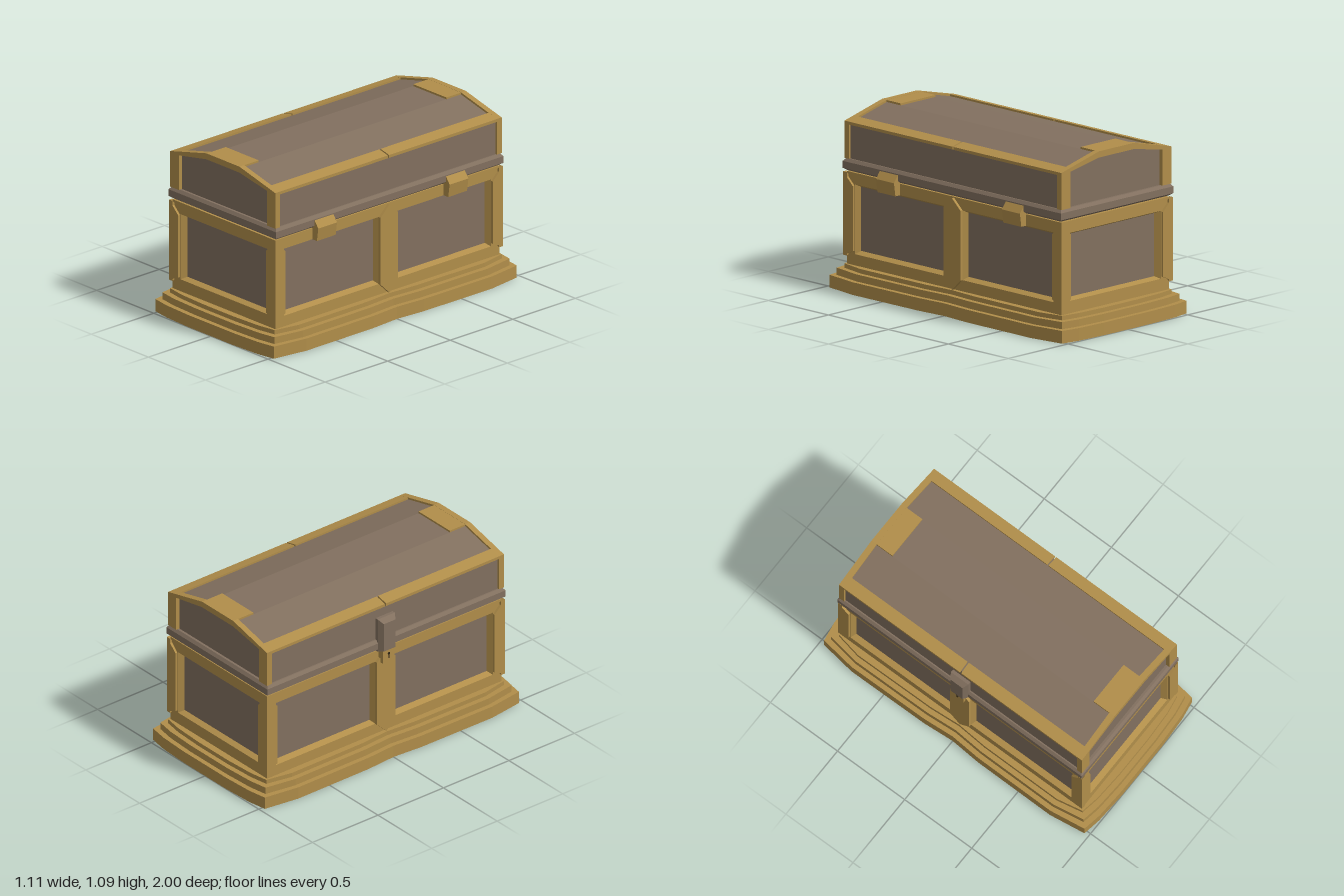
import * as THREE from 'three';

export function createModel() {
  const chest = new THREE.Group();
  chest.name = 'chest';
  const mat = (name, color) => {
    const m = new THREE.MeshStandardMaterial({ color });
    m.name = name;
    return m;
  };
  const gold = mat('gold', 0xb18e4a);
  const wood = mat('greyBrown', 0x82705f);
  const dark = mat('keyholeDark', 0x2a2112);

  function add(name, geo, material, parent = chest) {
    const m = new THREE.Mesh(geo, material);
    m.name = name;
    parent.add(m);
    return m;
  }
  // Flat outline extruded from z0 to z1
  function slab(pts, z0, z1) {
    const shape = new THREE.Shape(pts.map(p => new THREE.Vector2(p[0], p[1])));
    return new THREE.ExtrudeGeometry(shape, { depth: z1 - z0, bevelEnabled: false }).translate(0, 0, z0);
  }
  // Flat-faced loft through rectangles [x0, y0, x1, y1, z]; optional end caps
  function rectLoft(rects, capStart, capEnd) {
    const v = [];
    const loops = rects.map(([a, b, c, d, z]) => [[a, b, z], [c, b, z], [c, d, z], [a, d, z]]);
    const quad = (p, q, r, s) => v.push(...p, ...q, ...r, ...p, ...r, ...s);
    for (let i = 0; i + 1 < loops.length; i++) {
      for (let k = 0; k < 4; k++) {
        const n = (k + 1) % 4;
        quad(loops[i][k], loops[i][n], loops[i + 1][n], loops[i + 1][k]);
      }
    }
    if (capStart) quad(...[...loops[0]].reverse());
    if (capEnd) quad(...loops[loops.length - 1]);
    const g = new THREE.BufferGeometry();
    g.setAttribute('position', new THREE.Float32BufferAttribute(v, 3));
    g.computeVertexNormals();
    return g;
  }
  const box = (x0, x1, y0, y1, z0, z1) =>
    new THREE.BoxGeometry(x1 - x0, y1 - y0, z1 - z0)
      .translate((x0 + x1) / 2, (y0 + y1) / 2, (z0 + z1) / 2);

  // Stepped plinth with bowed sides and a slight waist
  const quarter = [[0.535, 0], [0.55, 0.2], [0.553, 0.74], [0.52, 0.97], [0.4, 0.99], [0.2, 1]];
  [[0, 0, 0.077], [0.03, 0.077, 0.12], [0.062, 0.12, 0.147]].forEach(([inset, y0, y1], i) => {
    const q = quarter.map(([x, z]) => [x - inset, z ? z - (z > 0.9 ? inset : 0) : 0]);
    const right = [...q.slice(1).reverse().map(([x, z]) => [x, -z]), ...q];
    const outline = [...right, ...right.map(([x, z]) => [-x, -z])];
    add('plinthStep' + (i + 1), slab(outline, y0, y1).rotateX(-Math.PI / 2), gold);
  });

  // Recessed panel with a bevelled surround; facing +z
  function framedPanel(parent, outer, hole, inner, front) {
    const back = front - 0.035;
    add('panelFrame', rectLoft([[...outer, back], [...outer, front], [...hole, front], [...inner, back]]),
      gold, parent);
    const [a, b, c, d] = inner;
    add('panel', new THREE.PlaneGeometry(c - a, d - b).translate((a + c) / 2, (b + d) / 2, back),
      wood, parent);
  }
  // Pair of post faces with slanted ends, at the two edges of a wall
  function cornerPosts(parent, edge, inner, front) {
    for (const s of [1, -1]) {
      const pts = [[inner, 0.235], [edge, 0.2], [edge, 0.708], [inner, 0.63]].map(([x, y]) => [s * x, y]);
      add('cornerPost', slab(pts, front - 0.03, front), gold, parent);
    }
  }

  add('bodyCore', box(-0.41, 0.41, 0.14, 0.72, -0.855, 0.855), wood);
  add('bodyRim', box(-0.44, 0.44, 0.64, 0.71, -0.885, 0.885), gold);
  for (const s of [1, -1]) {
    // End walls
    const end = new THREE.Group();
    end.name = s > 0 ? 'frontWall' : 'backWall';
    end.rotation.y = s > 0 ? 0 : Math.PI;
    chest.add(end);
    framedPanel(end, [-0.45, 0.145, 0.45, 0.71], [-0.38, 0.222, 0.38, 0.636], [-0.36, 0.236, 0.36, 0.62], 0.895);
    cornerPosts(end, 0.465, 0.385, 0.91);

    // Long walls, two panels each with a pointed middle post
    const side = new THREE.Group();
    side.name = s > 0 ? 'leftWall' : 'rightWall';
    side.rotation.y = s * Math.PI / 2;
    chest.add(side);
    framedPanel(side, [0, 0.145, 0.895, 0.71], [0.07, 0.215, 0.828, 0.64], [0.085, 0.232, 0.81, 0.622], 0.45);
    framedPanel(side, [-0.895, 0.145, 0, 0.71], [-0.828, 0.215, -0.07, 0.64], [-0.81, 0.232, -0.085, 0.622], 0.45);
    cornerPosts(side, 0.91, 0.83, 0.465);
    add('middlePost', slab([[0, 0.147], [0.07, 0.215], [0.07, 0.64], [0, 0.705], [-0.07, 0.64], [-0.07, 0.215]],
      0.41, 0.468), gold, side);
  }

  // Lid lip with chamfered edges
  const lip = [[0.45, 0.89, 0.716], [0.47, 0.91, 0.73], [0.47, 0.91, 0.772], [0.455, 0.895, 0.79]];
  add('lidLip', rectLoft(lip.map(([x, z, y]) => [-x, -z, x, z, y]), true, true).rotateX(-Math.PI / 2), wood);

  // Lid body
  const mirror = half => [...half, ...half.map(([x, y]) => [-x, y]).reverse()];
  add('lidPanels', slab(mirror([[0.447, 0.78], [0.447, 1.005], [0.385, 1.022], [0.145, 1.08]]), -0.88, 0.88), wood);

  // Lid end arches, top tabs and long edge rails
  const arch = [...mirror([[0.46, 0.79], [0.46, 1.016], [0.145, 1.093]]),
    ...mirror([[0.385, 0.79], [0.385, 1.01], [0.145, 1.055]]).reverse()];
  for (const s of [1, -1]) {
    const z = [0.867 * s, 0.905 * s].sort((a, b) => a - b);
    add('lidArch', slab(arch, z[0], z[1]), gold);
    const t = [0.75 * s, 0.9 * s].sort((a, b) => a - b);
    add('lidTab', box(-0.145, 0.145, 1.06, 1.092, t[0], t[1]), gold);
    for (const h of [1, -1]) {
      const r = [0.005 * h, 0.87 * h].sort((a, b) => a - b);
      const rail = [[0.46, 0.998], [0.46, 1.016], [0.385, 1.034], [0.385, 0.998]].map(([x, y]) => [s * x, y]);
      add('lidRail', slab(rail, r[0], r[1]), gold);
    }
  }

  // Hinges on the left side
  const hingeProfile = [[0.44, 0.64], [0.49, 0.64], [0.502, 0.722], [0.468, 0.768], [0.44, 0.768]];
  for (const z of [-0.6, 0.45]) add('hinge', slab(hingeProfile, z, z + 0.15), gold);

  // Hasp and lock on the right side
  const lock = new THREE.Group();
  lock.name = 'lock';
  lock.rotation.y = -Math.PI / 2;
  chest.add(lock);
  add('hasp', rectLoft([[-0.065, 0.715, 0.065, 0.935, 0.44], [-0.065, 0.715, 0.065, 0.935, 0.468],
    [-0.045, 0.722, 0.045, 0.91, 0.5]], true, true), wood, lock);
  add('lockPlate', box(-0.045, 0.045, 0.635, 0.72, 0.44, 0.49), gold, lock);
  add('keyhole', new THREE.CircleGeometry(0.009, 10).translate(0, 0.69, 0.492), dark, lock);
  add('keyholeSlot', new THREE.PlaneGeometry(0.008, 0.03).translate(0, 0.674, 0.492), dark, lock);

  return chest;
}
